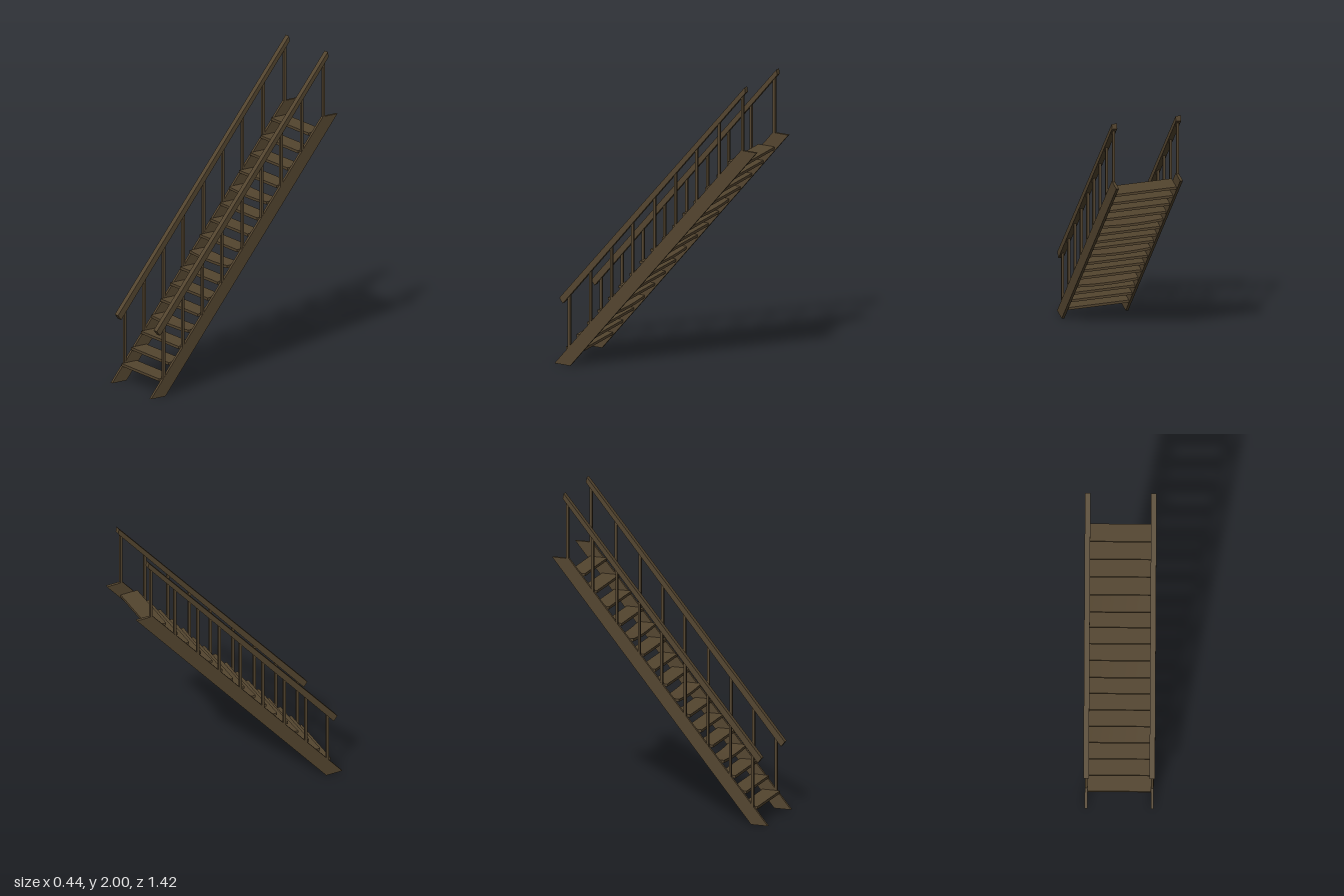
import * as THREE from 'three';

const wood = new THREE.MeshStandardMaterial({ color: 0x54452f });
wood.name = 'darkWood';

const SIDE_X = 0.204;

// Flat side profile of [z, y] points, given thickness along x
function sidePanel(points, thickness, x, name) {
  const shape = new THREE.Shape(points.map(([z, y]) => new THREE.Vector2(-z, y)));
  const geo = new THREE.ExtrudeGeometry(shape, { depth: thickness, bevelEnabled: false });
  geo.translate(0, 0, -thickness / 2);
  geo.rotateY(Math.PI / 2);
  const mesh = new THREE.Mesh(geo, wood);
  mesh.position.x = x;
  mesh.name = name;
  return mesh;
}

// Tread board, optionally sagging in the middle
function tread(y, zFront, sag) {
  const width = 0.392, depth = 0.115;
  const geo = new THREE.BoxGeometry(width, 0.017, depth, sag ? 10 : 1, 1, 1);
  const p = geo.attributes.position;
  for (let i = 0; i < p.count; i++) {
    const t = p.getX(i) / (width / 2);
    p.setY(i, p.getY(i) - sag * (1 - t * t));
  }
  geo.computeVertexNormals();
  const mesh = new THREE.Mesh(geo, wood);
  mesh.position.set(0, y, zFront - depth / 2);
  mesh.name = sag ? 'saggingTread' : 'tread';
  return mesh;
}

export function createModel() {
  const stairs = new THREE.Group();
  stairs.name = 'staircase';

  // Treads, every fourth of the lower twelve worn into a sag
  const treadY = [0.106, 0.198, 0.289, 0.38, 0.471, 0.561, 0.65, 0.743,
    0.832, 0.919, 1.009, 1.1, 1.191, 1.29, 1.386, 1.486];
  const treadZ = [0.637, 0.565, 0.49, 0.415, 0.343, 0.268, 0.193, 0.12,
    0.043, -0.036, -0.11, -0.18, -0.258, -0.34, -0.42, -0.5];
  treadY.forEach((y, i) => {
    const sag = i % 4 === 3 && i < 12 ? 0.009 : 0;
    stairs.add(tread(y, treadZ[i], sag));
  });

  const postZ = [0.609, 0.461, 0.313, 0.164, 0.008, -0.138, -0.286, -0.445, -0.609];
  for (const side of [-1, 1]) {
    const x = side * SIDE_X;
    const rail = new THREE.Group();
    rail.name = side > 0 ? 'leftSide' : 'rightSide';

    // Sloping stringer and handrail
    rail.add(sidePanel([[0.71, 0], [0.6, 0], [-0.71, 1.585], [-0.6, 1.585]], 0.017, x, 'stringer'));
    rail.add(sidePanel([[0.672, 0.432], [0.647, 0.4], [-0.637, 1.966], [-0.631, 2]], 0.034, x, 'handrail'));

    // Posts from stringer to handrail
    for (const z of postZ) {
      const bottom = (0.71 - z) * 1.21 - 0.03;
      const top = 0.4 + (0.647 - z) * 1.22 + 0.02;
      const post = new THREE.Mesh(new THREE.BoxGeometry(0.016, top - bottom, 0.016), wood);
      post.position.set(x, (top + bottom) / 2, z);
      post.name = 'post';
      rail.add(post);
    }
    stairs.add(rail);
  }
  return stairs;
}
